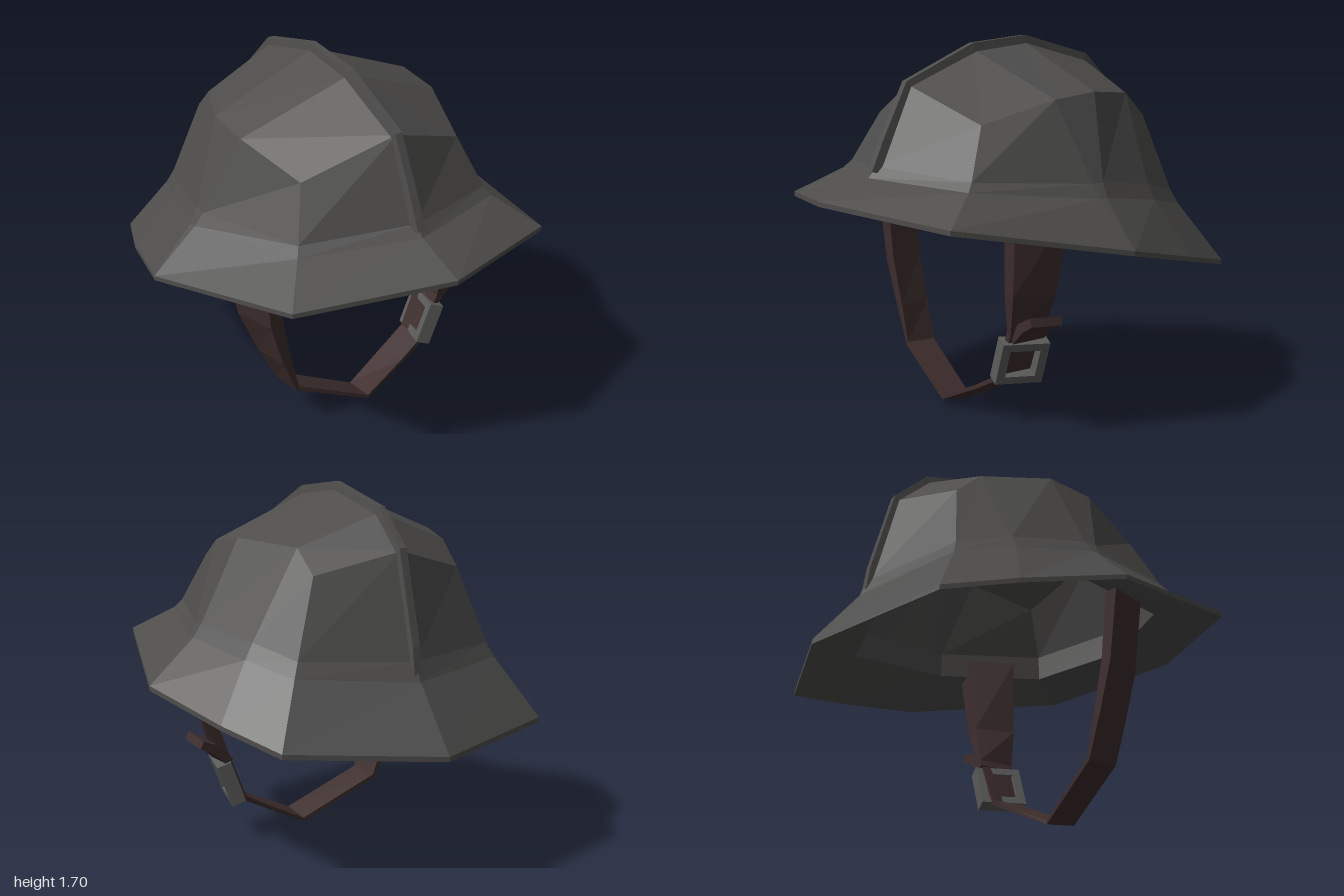
import * as THREE from 'three';

const metal = new THREE.MeshStandardMaterial({ color: 0x4e4d4c, flatShading: true });
const leather = new THREE.MeshStandardMaterial({ color: 0x3e2d2d, flatShading: true });
const steel = new THREE.MeshStandardMaterial({ color: 0x5b5c5a, flatShading: true });

// Skins successive closed loops of points with flat facets
function loft(loops) {
  const pos = [];
  const tri = (a, b, c) => {
    const n = b.clone().sub(a).cross(c.clone().sub(a));
    if (n.length() > 1e-7) for (const p of [a, b, c]) pos.push(p.x, p.y, p.z);
  };
  for (let i = 0; i + 1 < loops.length; i++) {
    const lo = loops[i], hi = loops[i + 1];
    for (let j = 0; j < lo.length; j++) {
      const k = (j + 1) % lo.length;
      tri(lo[j], lo[k], hi[k]);
      tri(lo[j], hi[k], hi[j]);
    }
  }
  const g = new THREE.BufferGeometry();
  g.setAttribute('position', new THREE.Float32BufferAttribute(pos, 3));
  g.computeVertexNormals();
  return g;
}

// Closes both ends of a loft by collapsing a loop to its centre
function capped(loops) {
  const point = (l) => {
    const c = l.reduce((s, p) => s.add(p), new THREE.Vector3()).divideScalar(l.length);
    return l.map(() => c);
  };
  return [point(loops[0]), ...loops, point(loops[loops.length - 1])];
}

function part(name, geometry, material) {
  const m = new THREE.Mesh(geometry, material);
  m.name = name;
  return m;
}

const V = (a) => new THREE.Vector3(...a);

// Full ring from the left half, front to back, mirrored in x
function ring(half) {
  const left = half.map(V);
  const right = half.slice(1, -1).reverse().map(([x, y, z]) => V([-x, y, z]));
  return [...left, ...right];
}

// Stations: front, front corner, side, side, rear quarter, rear corner, back
function shell() {
  const brim = ring([[0, 1.015, 1], [0.66, 0.96, 0.77], [0.9, 0.825, 0], [0.9, 0.825, 0],
    [0.78, 0.725, -0.46], [0.66, 0.655, -0.77], [0, 0.61, -1]]);
  const base = ring([[0, 1.105, 0.725], [0.5, 1.09, 0.56], [0.675, 1.045, 0.02], [0.675, 1.045, -0.02],
    [0.6, 1.0, -0.36], [0.5, 0.95, -0.6], [0, 0.915, -0.76]]);
  const shoulder = ring([[0, 1.495, 0.545], [0.41, 1.34, 0.44], [0.51, 1.44, 0.12], [0.51, 1.465, -0.1],
    [0.38, 1.44, -0.4], [0.37, 1.33, -0.52], [0, 1.425, -0.625]]);
  const ridge = ring([[0, 1.495, 0.545], [0, 1.495, 0.545], [0, 1.64, 0.19], [0, 1.67, -0.1],
    [0, 1.58, -0.46], [0, 1.425, -0.625], [0, 1.425, -0.625]]);
  const inner = (r, s, drop) => r.map((p) => V([p.x * s, p.y - drop, p.z * s]));
  const blend = (a, b, t) => a.map((p, i) => p.clone().lerp(b[i], t));
  return loft([
    // Lining, from the crown down to the underside of the brim
    inner(ridge, 0.95, 0.035), inner(shoulder, 0.95, 0.035),
    inner(base, 0.92, 0.01), inner(base, 0.93, 0.13), inner(brim, 1, 0.022),
    // Outside, with a softened bend between brim and crown
    brim, blend(base, brim, 0.1), blend(base, shoulder, 0.1), shoulder, ridge,
  ]);
}

// Narrow crest along the crown, given as z and y
function crest() {
  const path = [[0.745, 1.125], [0.68, 1.27], [0.56, 1.51], [0.2, 1.67], [-0.1, 1.7],
    [-0.47, 1.605], [-0.64, 1.44], [-0.75, 1.03], [-0.768, 0.91]];
  return loft(capped(path.map(([z, y], i) => {
    const w = 0.024 + 0.01 * Math.abs(i - 4) / 4;
    const d = new THREE.Vector2(-z, 0.9 - y).setLength(0.07);
    return [V([-w, y + d.y, z + d.x]), V([-w * 0.6, y, z]), V([w * 0.6, y, z]), V([w, y + d.y, z + d.x])];
  })));
}

// Flat band: each station holds its back edge, its front edge and its thickness
function band(stations) {
  return loft(capped(stations.map(([bx, by, bz, fx, fy, fz, thickness], i) => {
    const p = stations[Math.max(i - 1, 0)], q = stations[Math.min(i + 1, stations.length - 1)];
    const n = new THREE.Vector3(p[1] - q[1], q[0] - p[0], 0).setLength(thickness);
    const back = V([bx, by, bz]), front = V([fx, fy, fz]);
    return [front, back, back.clone().add(n), front.clone().add(n)];
  })));
}

// Rectangular buckle frame with an open window
function buckleFrame() {
  const s = new THREE.Shape();
  const rect = (path, w, h) => path.moveTo(-w, -h).lineTo(w, -h).lineTo(w, h).lineTo(-w, h).closePath();
  rect(s, 0.112, 0.105);
  const hole = new THREE.Path();
  rect(hole, 0.072, 0.068);
  s.holes.push(hole);
  return new THREE.ExtrudeGeometry(s, { depth: 0.07, bevelEnabled: false })
    .translate(0, 0, -0.035).rotateY(Math.PI / 2);
}

export function createModel() {
  const model = new THREE.Group();
  model.name = 'helmet';
  model.add(part('shell', shell(), metal), part('crest', crest(), metal));

  // Chin strap, from the right side under the chin to the left side
  const upper = [[0.66, 1.0, 0.15, 0.56, 1.0, 0.37, 0.08], [0.575, 0.6, 0.16, 0.515, 0.6, 0.35, 0.065]];
  const mirror = ([a, b, c, d, e, f, t]) => [-a, b, c, -d, e, f, t];
  model.add(part('chinStrap', band([
    ...upper.map(mirror),
    [-0.48, 0.37, 0.165, -0.445, 0.37, 0.335, 0.045],
    [-0.39, 0.185, 0.17, -0.375, 0.195, 0.33, 0.022],
    [0, 0.002, 0.22, 0, 0.022, 0.375, 0.018],
    [0.23, 0.115, 0.18, 0.23, 0.125, 0.34, 0.018],
    [0.37, 0.185, 0.16, 0.37, 0.195, 0.32, 0.025],
    [0.475, 0.42, 0.15, 0.465, 0.42, 0.325, 0.03],
    ...upper.slice().reverse(),
  ]), leather));

  // Loose strap end above the buckle
  model.add(part('strapEnd', band([
    [0.455, 0.37, 0.14, 0.455, 0.37, 0.31, 0.04],
    [0.525, 0.435, 0.14, 0.525, 0.44, 0.31, 0.045],
    [0.595, 0.465, 0.14, 0.595, 0.48, 0.31, 0.04],
  ]), leather));

  const buckle = part('buckle', buckleFrame(), steel);
  buckle.position.set(0.415, 0.285, 0.235);
  buckle.rotation.set(-0.06, -0.25, -0.37);
  model.add(buckle);
  return model;
}
